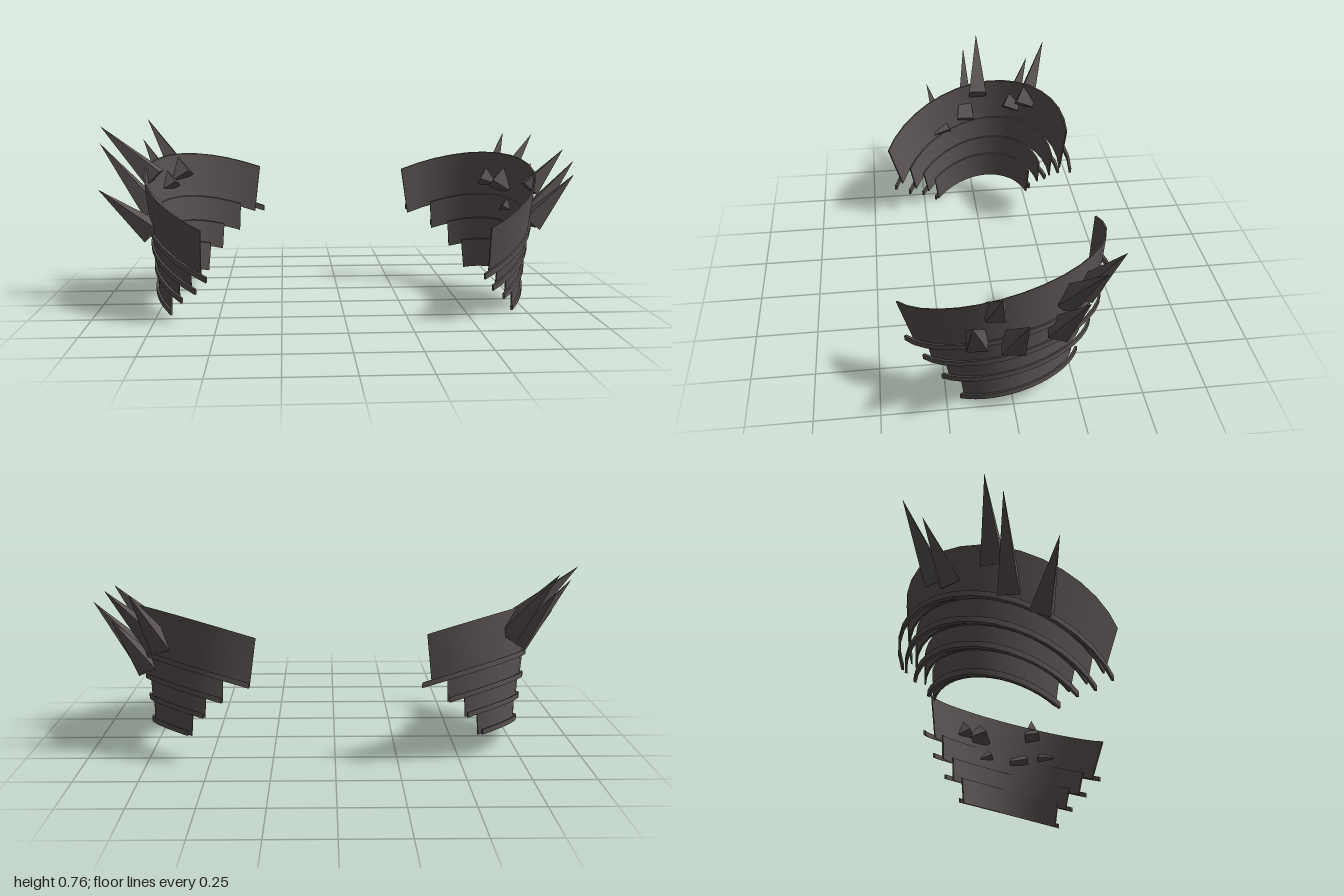
import * as THREE from 'three';
import { toCreasedNormals } from 'three/addons/utils/BufferGeometryUtils.js';

const SEGMENTS = 16;
const rad = THREE.MathUtils.degToRad;

// Point on a tilted ring: r radius, cx/cz centre, y height at the outermost point
function ringPoint(ring, angle, offset, lift, side) {
  const x = ring.cx + (ring.r + offset) * Math.cos(angle);
  const z = ring.cz + (ring.r + offset) * Math.sin(angle);
  const y = ring.y + lift + 0.31 * (x - ring.cx - ring.r) - 0.285 * z;
  return [side * x, y, z];
}

// Curved bar with a four-cornered section, swept from front to back
function curvedBar(corners, front, back, side) {
  const pos = [], index = [];
  const tri = (a, b, c) => (side > 0 ? index.push(a, b, c) : index.push(a, c, b));
  for (let i = 0; i <= SEGMENTS; i++) {
    const angle = rad(front + ((back - front) * i) / SEGMENTS);
    for (const [ring, offset, lift] of corners) pos.push(...ringPoint(ring, angle, offset, lift, side));
  }
  for (let i = 0; i < SEGMENTS; i++) {
    for (let j = 0; j < 4; j++) {
      const a = i * 4 + j, b = i * 4 + ((j + 1) % 4);
      tri(a, b, a + 4);
      tri(b, b + 4, a + 4);
    }
  }
  const e = SEGMENTS * 4;
  tri(0, 2, 1); tri(0, 3, 2);
  tri(e, e + 1, e + 2); tri(e, e + 2, e + 3);
  const geo = new THREE.BufferGeometry();
  geo.setAttribute('position', new THREE.Float32BufferAttribute(pos, 3));
  geo.setIndex(index);
  return toCreasedNormals(geo, rad(35));
}

// Sharp-edged four-sided spike from base centre to tip
function spike(base, tip, radius, material) {
  const from = new THREE.Vector3(...base), to = new THREE.Vector3(...tip);
  const dir = to.clone().sub(from);
  const geo = toCreasedNormals(new THREE.ConeGeometry(radius, dir.length(), 4, 1).rotateY(rad(40)), rad(20));
  const mesh = new THREE.Mesh(geo, material);
  mesh.position.copy(from).addScaledVector(dir, 0.5);
  mesh.quaternion.setFromUnitVectors(new THREE.Vector3(0, 1, 0), dir.normalize());
  mesh.name = 'spike';
  return mesh;
}

// Overlapping bands, top to bottom, with front and back end angles and trim flare
const BANDS = [
  { top: { r: 0.42, cx: 0.39, cz: 0.03, y: 0.585 }, bottom: { r: 0.38, cx: 0.41, cz: 0.01, y: 0.375 }, front: 67, back: -102, flare: 0.04 },
  { top: { r: 0.35, cx: 0.44, cz: 0.01, y: 0.4 }, bottom: { r: 0.335, cx: 0.445, cz: 0, y: 0.278 }, front: 62, back: -91, flare: 0.04 },
  { top: { r: 0.31, cx: 0.465, cz: 0.01, y: 0.3 }, bottom: { r: 0.295, cx: 0.475, cz: 0, y: 0.187 }, front: 52, back: -82, flare: 0.04 },
  { top: { r: 0.28, cx: 0.485, cz: 0.01, y: 0.21 }, bottom: { r: 0.265, cx: 0.5, cz: 0.005, y: 0.088 }, front: 42, back: -73, flare: 0.025 },
];

// Spikes as [base, tip, radius]
const LEFT_SPIKES = [
  [[0.78, 0.365, 0.14], [0.943, 0.565, 0.17], 0.055],
  [[0.785, 0.495, 0.075], [0.925, 0.66, 0.068], 0.05],
  [[0.79, 0.35, 0.01], [0.997, 0.604, -0.012], 0.062],
  [[0.755, 0.365, -0.155], [0.875, 0.575, -0.24], 0.055],
  [[0.715, 0.47, -0.18], [0.885, 0.702, -0.287], 0.057],
  [[0.68, 0.475, -0.255], [0.775, 0.703, -0.378], 0.055],
];
const RIGHT_SPIKES = [
  [[-0.77, 0.34, 0.14], [-0.965, 0.52, 0.206], 0.055],
  [[-0.775, 0.41, 0.03], [-0.99, 0.69, 0.018], 0.055],
  [[-0.775, 0.54, -0.03], [-0.997, 0.755, -0.047], 0.057],
  [[-0.73, 0.48, -0.18], [-0.855, 0.685, -0.275], 0.053],
  [[-0.68, 0.52, -0.24], [-0.845, 0.772, -0.352], 0.057],
];

export function createModel() {
  const plateMetal = new THREE.MeshStandardMaterial({ color: 0x5a5252 });
  plateMetal.name = 'warm dark metal';
  const model = new THREE.Group();
  model.name = 'spikedShoulderPlates';

  for (const side of [1, -1]) {
    const shoulder = new THREE.Group();
    shoulder.name = side > 0 ? 'leftShoulder' : 'rightShoulder';
    BANDS.forEach(({ top, bottom, front, back, flare }, k) => {
      const end = side < 0 && k === 0 ? back + 6 : back;
      // Thin curved band
      const band = new THREE.Mesh(
        curvedBar([[top, 0, 0], [bottom, 0, 0], [bottom, -0.006, 0], [top, -0.006, 0]], front, end, side),
        plateMetal);
      band.name = 'band' + (k + 1);
      // Slim trim along the lower edge, flaring away from the band at both ends
      const rim = { r: bottom.r + flare, cx: bottom.cx - flare + 0.01, cz: bottom.cz - 0.005, y: bottom.y };
      const trim = new THREE.Mesh(
        curvedBar([[rim, 0, 0.022], [rim, 0, 0], [rim, -0.01, 0], [rim, -0.01, 0.022]], front + 1, back + 5, side),
        plateMetal);
      trim.name = 'trim' + (k + 1);
      shoulder.add(band, trim);
    });
    for (const [base, tip, radius] of side > 0 ? LEFT_SPIKES : RIGHT_SPIKES) {
      shoulder.add(spike(base, tip, radius, plateMetal));
    }
    model.add(shoulder);
  }

  // Rest the model on the ground
  const box = new THREE.Box3().setFromObject(model);
  for (const part of model.children) part.position.y -= box.min.y;
  return model;
}
